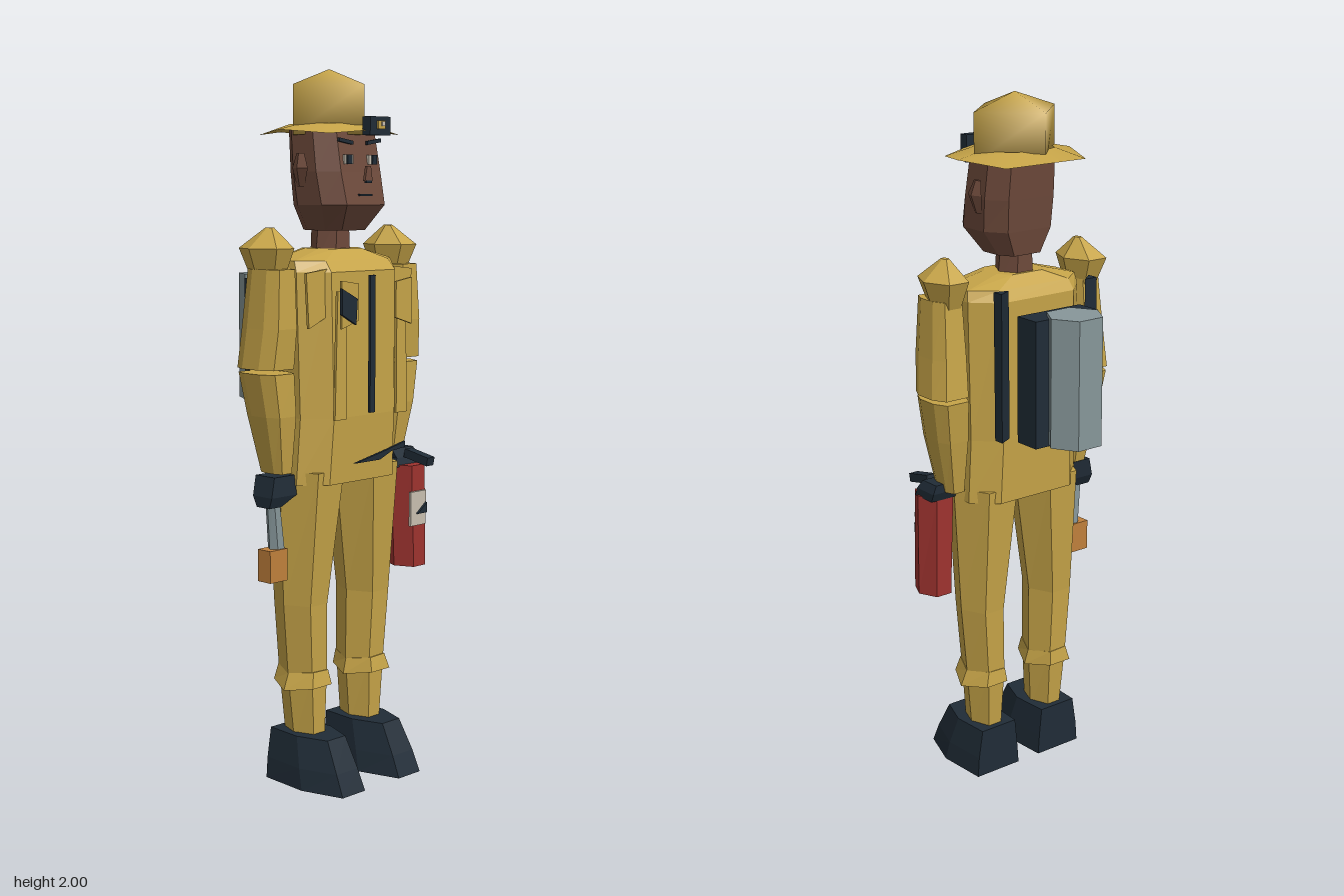
import * as THREE from 'three';
import { mergeVertices } from 'three/addons/utils/BufferGeometryUtils.js';

// cross-section outlines in x,z; counterclockwise seen from above
const HEX = [[-0.5, 1], [0.5, 1], [1, 0], [0.5, -1], [-0.5, -1], [-1, 0]];
const OCT = [[-0.65, 1], [0.65, 1], [1, 0.45], [1, -0.45], [0.65, -1], [-0.65, -1], [-1, -0.45], [-1, 0.45]];
const BOX = [[-1, 1], [1, 1], [1, -1], [-1, -1]];
const DIAMOND = [[0, 1], [1, 0], [0, -1], [-1, 0]];

// closed faceted solid through rings [y, x0, x1, z0, z1], listed bottom to top
function loft(outline, rings) {
  const pts = rings.map(([y, x0, x1, z0, z1]) => outline.map(([u, v]) =>
    [(x0 + x1) / 2 + u * (x1 - x0) / 2, y, (z0 + z1) / 2 + v * (z1 - z0) / 2]));
  const out = [], n = outline.length, last = pts.length - 1;
  const tri = (a, b, c) => out.push(...a, ...b, ...c);
  for (let r = 0; r < last; r++) {
    for (let i = 0; i < n; i++) {
      const j = (i + 1) % n, a = pts[r], b = pts[r + 1];
      tri(a[i], a[j], b[j]);
      tri(a[i], b[j], b[i]);
    }
  }
  for (let i = 1; i < n - 1; i++) {
    tri(pts[0][0], pts[0][i + 1], pts[0][i]);
    tri(pts[last][0], pts[last][i], pts[last][i + 1]);
  }
  const g = new THREE.BufferGeometry();
  g.setAttribute('position', new THREE.Float32BufferAttribute(out, 3));
  g.computeVertexNormals();
  return g;
}

// mirror ring extents to the other side of the body
const side = (s, rings) => rings.map(([y, a, b, c, d]) => s > 0 ? [y, a, b, c, d] : [y, -b, -a, c, d]);

export function createModel() {
  const model = new THREE.Group();
  const mat = (name, color, open) => new THREE.MeshStandardMaterial(
    { name, color, side: open ? THREE.DoubleSide : THREE.FrontSide });
  const cloth = mat('mustard cloth', 0xc6a448, true);
  const skin = mat('brown skin', 0x6e4a3b);
  const dark = mat('dark navy', 0x202c37, true);
  const steel = mat('grey steel', 0x87979a);
  const red = mat('red paint', 0x9e332f);
  const orange = mat('orange', 0xc0803c);
  const cream = mat('cream', 0xc9c0b0);

  const add = (name, geo, material) => {
    const m = new THREE.Mesh(geo, material);
    m.name = name;
    model.add(m);
    return m;
  };
  const box = (name, material, w, h, d, x, y, z, tilt = 0) => {
    const m = add(name, new THREE.BoxGeometry(w, h, d), material);
    m.position.set(x, y, z);
    m.rotation.z = tilt;
    return m;
  };
  // thin plate cut from a polygon facing the front
  const plate = (name, material, pts, z) => {
    const shape = new THREE.Shape(pts.map(p => new THREE.Vector2(...p)));
    add(name, new THREE.ExtrudeGeometry(shape, { depth: 0.008, bevelEnabled: false }), material).position.z = z;
  };

  // head and neck
  add('neck', loft(HEX, [[1.46, -0.06, 0.06, 0.01, 0.11], [1.6, -0.045, 0.045, 0.01, 0.11]]), skin);
  add('head', loft(OCT, [
    [1.56, -0.07, 0.07, 0, 0.15], [1.63, -0.115, 0.115, -0.01, 0.198],
    [1.72, -0.12, 0.12, -0.018, 0.178], [1.84, -0.115, 0.115, -0.028, 0.155]]), skin);
  plate('nose', skin, [[-0.018, 1.695], [0.012, 1.695], [0.005, 1.735], [-0.01, 1.735]], 0.203);
  plate('noseShadow', dark, [[-0.015, 1.69], [0.008, 1.69], [0.008, 1.696], [-0.015, 1.696]], 0.205);
  box('mouth', dark, 0.05, 0.006, 0.008, 0, 1.657, 0.194);
  for (const s of [-1, 1]) {
    box('eye', cream, 0.034, 0.026, 0.008, s * 0.047, 1.753, 0.175);
    box('pupil', dark, 0.017, 0.026, 0.008, s * 0.049, 1.753, 0.18);
    box('eyebrow', dark, 0.055, 0.01, 0.008, s * 0.055, 1.802, 0.172, s * 0.15);
    add('ear', loft(DIAMOND, side(s, [
      [1.68, 0.115, 0.125, 0.05, 0.08], [1.73, 0.115, 0.14, 0.04, 0.1],
      [1.77, 0.115, 0.128, 0.05, 0.08]])), skin);
  }

  // hat: smooth four-sided crown on a wavy eight-sided brim
  const crown = loft(DIAMOND, [
    [1.82, -0.14, 0.14, -0.08, 0.19], [1.955, -0.14, 0.14, -0.08, 0.19], [2, -0.003, 0.003, 0.052, 0.058]]);
  crown.deleteAttribute('normal');
  const smoothCrown = mergeVertices(crown);
  smoothCrown.computeVertexNormals();
  add('hatCrown', smoothCrown, cloth);
  const brimGeo = new THREE.CylinderGeometry(0.11, 0.195, 0.03, 8, 1, true);
  const bp = brimGeo.attributes.position;
  for (let i = 0; i < bp.count; i++) if (bp.getY(i) < 0) bp.setY(i, -0.015 + (i % 2 ? 0.012 : 0));
  brimGeo.computeVertexNormals();
  add('hatBrim', brimGeo, cloth).position.set(0, 1.836, 0.055);
  box('headlamp', dark, 0.08, 0.05, 0.028, 0, 1.842, 0.236);
  box('headlampLens', cloth, 0.028, 0.022, 0.006, 0, 1.845, 0.252);
  box('headlampGlint', cream, 0.012, 0.012, 0.004, 0.005, 1.848, 0.256);

  // jacket
  add('jacket', loft(OCT, [
    [0.865, -0.195, 0.195, -0.04, 0.185], [1.05, -0.185, 0.185, -0.045, 0.195],
    [1.45, -0.195, 0.195, -0.05, 0.19], [1.48, -0.19, 0.19, -0.03, 0.165],
    [1.51, -0.08, 0.08, 0, 0.13]]), cloth);
  box('zipper', dark, 0.02, 0.38, 0.008, 0, 1.25, 0.222);
  plate('beltFlap', dark, [[-0.05, 0.92], [0.05, 0.92], [0.1, 0.94], [0.155, 0.945], [0.155, 0.962], [0.08, 0.945]], 0.2);
  for (const s of [-1, 1]) {
    plate('frontFlap', cloth, [[s * 0.1, 1.05], [s * 0.145, 1.05], [s * 0.135, 1.4], [s * 0.1, 1.4]], 0.215);
    plate('chestPocket', cloth, [[s * 0.075, 1.32], [s * 0.14, 1.3], [s * 0.14, 1.43], [s * 0.075, 1.42]], 0.235);
    plate('lapel', cloth, [[s * 0.13, 1.33], [s * 0.2, 1.3], [s * 0.21, 1.45], [s * 0.12, 1.46]], 0.17);
  }
  plate('radio', dark, [[-0.15, 1.34], [-0.095, 1.31], [-0.09, 1.38], [-0.15, 1.41]], 0.246);

  // backpack, tank and straps
  box('backpack', dark, 0.22, 0.36, 0.08, 0, 1.24, -0.135);
  add('airTank', loft(HEX, [[1.065, -0.082, 0.082, -0.275, -0.135], [1.43, -0.082, 0.082, -0.275, -0.135]]), steel);
  for (const s of [-1, 1]) {
    const tri = s > 0 ? [[1, 1], [1, -1], [-1, 0.4]] : [[-1, 1], [1, -1], [-1, -1]];
    add('packStrap', loft(tri, side(s, [
      [1.07, 0.125, 0.168, -0.1, -0.068], [1.49, 0.125, 0.168, -0.1, -0.065]])), dark);
  }

  for (const s of [-1, 1]) {
    // arms
    add('shoulderPad', loft(HEX, side(s, [
      [1.42, 0.205, 0.275, 0.02, 0.1], [1.515, 0.18, 0.31, -0.015, 0.135],
      [1.57, 0.225, 0.245, 0.05, 0.075]])), cloth);
    add('upperArm', loft(OCT, side(s, [
      [1.19, 0.195, 0.31, -0.01, 0.135], [1.3, 0.195, 0.3, 0, 0.145], [1.46, 0.2, 0.288, 0.015, 0.14]])), cloth);
    add('forearm', loft(OCT, side(s, [
      [0.9, 0.195, 0.25, 0.03, 0.115], [1.06, 0.19, 0.285, 0.005, 0.135], [1.178, 0.195, 0.305, -0.01, 0.135]])), cloth);

    // legs, knee cuffs and boots
    add('trouserLeg', loft(HEX, side(s, [
      [0.12, 0.07, 0.155, 0.015, 0.13], [0.32, 0.058, 0.175, 0, 0.135], [0.52, 0.06, 0.192, -0.005, 0.142],
      [0.9, 0.01, 0.21, -0.03, 0.175]])), cloth);
    const cuff = loft(HEX, side(s, [
      [0.285, 0.045, 0.195, -0.008, 0.15], [0.325, 0.058, 0.175, -0.002, 0.14]]));
    const cp = cuff.attributes.position;
    for (let i = 0; i < cp.count; i++) cp.setY(i, cp.getY(i) + 0.025 * (0.5 - Math.abs(cp.getX(i) * s - 0.12) / 0.075));
    cuff.computeVertexNormals();
    add('shinCuff', cuff, cloth);
    add('boot', loft([[-0.55, 1], [0.5, 1], [1, 0.1], [0.9, -1], [-0.9, -1], [-1, 0.1]], side(s, [
      [0, 0.03, 0.2, -0.005, 0.272], [0.06, 0.035, 0.195, -0.005, 0.245],
      [0.145, 0.045, 0.18, -0.005, 0.2]])), dark);
  }

  // right hand: glove, tool and orange head
  add('rightGlove', loft(BOX, [
    [0.81, -0.285, -0.24, 0.06, 0.11], [0.84, -0.285, -0.19, 0.045, 0.12], [0.895, -0.27, -0.195, 0.04, 0.115]]), dark);
  add('toolShaft', loft(HEX, [
    [0.68, -0.255, -0.205, 0.06, 0.1], [0.88, -0.27, -0.235, 0.065, 0.1]]), steel);
  box('toolHead', orange, 0.065, 0.09, 0.05, -0.245, 0.645, 0.08);

  // left hand: glove and extinguisher
  add('leftGlove', loft(BOX, [
    [0.875, 0.18, 0.29, 0.07, 0.15], [0.9, 0.195, 0.29, 0.06, 0.14], [0.925, 0.19, 0.28, 0.06, 0.125]]), dark);
  add('extinguisher', loft(HEX, [
    [0.58, 0.2, 0.3, 0.072, 0.182], [0.88, 0.185, 0.297, 0.072, 0.182]]), red);
  box('extinguisherLabel', cream, 0.065, 0.1, 0.008, 0.232, 0.755, 0.188);
  plate('labelMark', dark, [[0.222, 0.74], [0.262, 0.74], [0.262, 0.77]], 0.191);
  box('extinguisherNozzle', dark, 0.03, 0.025, 0.09, 0.235, 0.905, 0.19).rotation.x = 0.2;

  return model;
}
